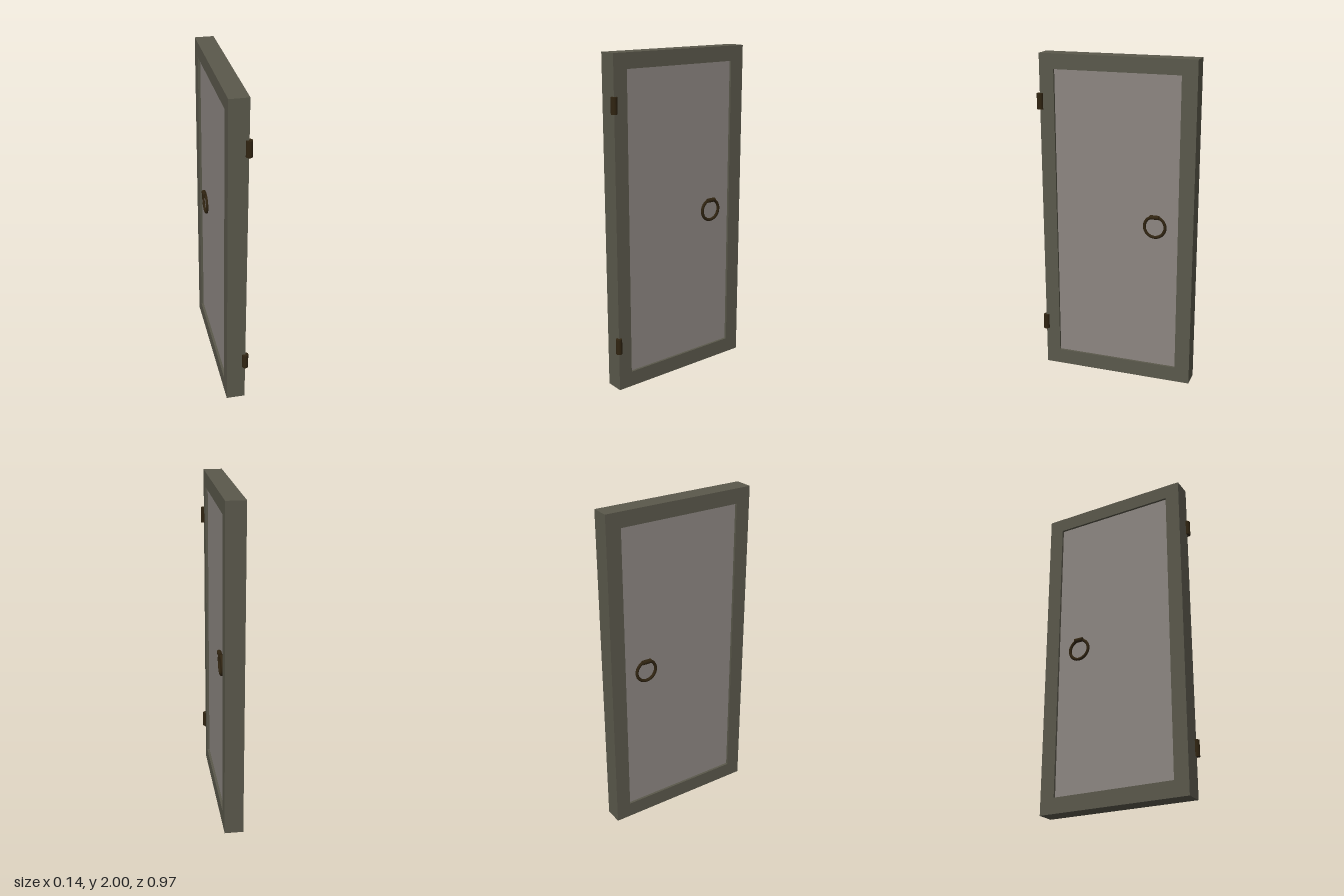
import * as THREE from 'three';

export function createModel() {
  const root = new THREE.Group();
  root.name = 'door';

  const material = (name, color) => {
    const m = new THREE.MeshStandardMaterial({ color });
    m.name = name;
    return m;
  };
  const frameGrey = material('frame grey', 0x5a584b);
  const panelGrey = material('panel grey', 0x8c8681);
  const metal = material('dark bronze', 0x302411);

  const add = (name, geometry, mat, x, y, z, parent = root) => {
    const mesh = new THREE.Mesh(geometry, mat);
    mesh.name = name;
    mesh.position.set(x, y, z);
    parent.add(mesh);
    return mesh;
  };

  const midX = -0.0055;        // middle of the door's thickness
  const thickness = 0.113;

  // Frame: rectangle with an opening, drawn in z and y, extruded along x
  const rectangle = (PathType, z0, z1, y0, y1) => new PathType([
    new THREE.Vector2(z0, y0), new THREE.Vector2(z1, y0),
    new THREE.Vector2(z1, y1), new THREE.Vector2(z0, y1),
  ]);
  const outline = rectangle(THREE.Shape, -0.484, 0.465, 0, 2);
  outline.holes.push(rectangle(THREE.Path, -0.392, 0.376, 0.095, 1.91));
  const frameGeometry = new THREE.ExtrudeGeometry(outline, { depth: thickness, bevelEnabled: false });
  frameGeometry.translate(0, 0, -thickness / 2);
  frameGeometry.rotateY(-Math.PI / 2);
  add('frame', frameGeometry, frameGrey, midX, 0, 0);

  // Recessed panel
  add('panel', new THREE.BoxGeometry(0.084, 1.815, 0.768), panelGrey, midX, 1.0025, -0.008);

  // Hinge barrels on the front right edge
  for (const y of [0.288, 1.718]) {
    add('hinge', new THREE.CylinderGeometry(0.019, 0.019, 0.095, 12), metal, 0.051, y, 0.465);
  }

  // Ring handle with its holder on each face
  for (const side of [1, -1]) {
    const handle = new THREE.Group();
    handle.name = 'handle';
    handle.position.set(midX, 1.005, -0.247);
    root.add(handle);
    const ring = add('ring', new THREE.TorusGeometry(0.064, 0.0095, 8, 28), metal, side * 0.047, 0, 0, handle);
    ring.rotation.y = Math.PI / 2;
    const holder = add('ringHolder', new THREE.CylinderGeometry(0.0135, 0.0135, 0.056, 10), metal,
      side * 0.0535, 0.062, 0, handle);
    holder.rotation.x = Math.PI / 2;
  }

  return root;
}
